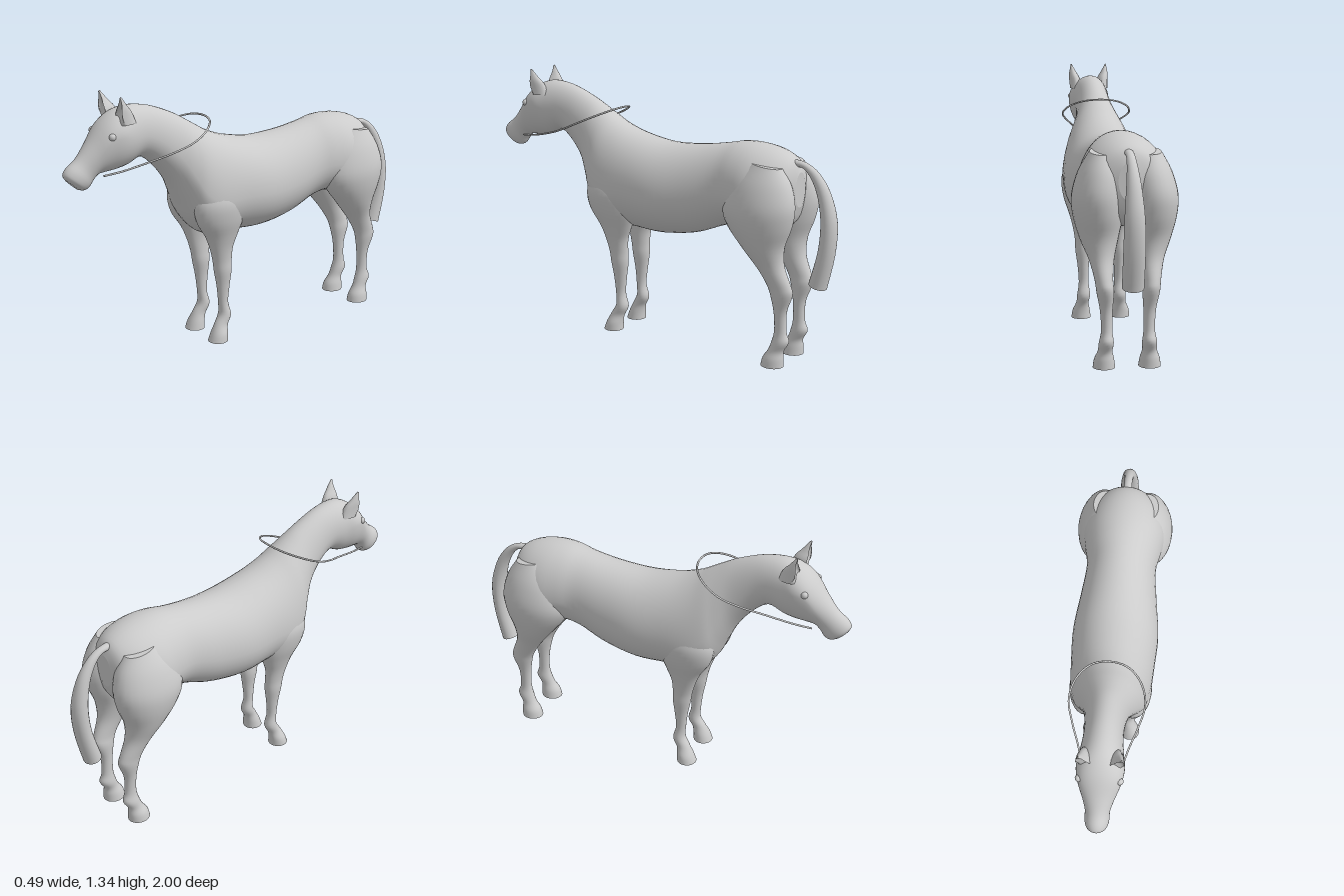
import * as THREE from 'three';

const material = new THREE.MeshStandardMaterial({ color: 0xcccccc, side: THREE.DoubleSide });

// Catmull-Rom blend between the rows of a section table
function smoothRows(rows, steps) {
  const out = [];
  const at = (i) => rows[Math.min(Math.max(i, 0), rows.length - 1)];
  for (let i = 0; i < rows.length - 1; i++) {
    for (let s = 0; s < steps; s++) {
      const t = s / steps;
      out.push(rows[i].map((b, k) => {
        const a = at(i - 1)[k], c = at(i + 1)[k], d = at(i + 2)[k];
        return b + 0.5 * t * (c - a + t * (2 * a - 5 * b + 4 * c - d + t * (3 * (b - c) + d - a)));
      }));
    }
  }
  out.push(rows[rows.length - 1]);
  return out;
}

// Loft through oval sections: [z1, y1, z2, y2, centreX, halfWidth, widest]
// (z1, y1) and (z2, y2) are opposite rim points; widest runs from 0 at the second to 1 at the first
function loft(name, table, { side = 1, steps = 4, sides = 28 } = {}) {
  const rows = smoothRows(table, steps);
  const pos = [], index = [];
  const addRing = ([z1, y1, z2, y2, cx, w, f]) => {
    for (let j = 0; j < sides; j++) {
      const a = (j / sides) * Math.PI * 2;
      const s = Math.sin(a);
      const t = f + (s > 0 ? 1 - f : f) * s;
      pos.push(side * cx + w * Math.cos(a), y2 + (y1 - y2) * t, z2 + (z1 - z2) * t);
    }
  };
  rows.forEach(addRing);
  for (let i = 0; i < rows.length - 1; i++) {
    for (let j = 0; j < sides; j++) {
      const k = (j + 1) % sides;
      const a = i * sides + j, b = i * sides + k;
      index.push(a, b, b + sides, a, b + sides, a + sides);
    }
  }
  // End caps with their own vertices keep a crisp rim
  [rows[0], rows[rows.length - 1]].forEach((row, end) => {
    const start = pos.length / 3;
    addRing(row);
    pos.push(side * row[4], (row[1] + row[3]) / 2, (row[0] + row[2]) / 2);
    for (let j = 0; j < sides; j++) {
      const a = start + j, b = start + (j + 1) % sides;
      index.push(start + sides, end ? a : b, end ? b : a);
    }
  });
  const geometry = new THREE.BufferGeometry();
  geometry.setAttribute('position', new THREE.Float32BufferAttribute(pos, 3));
  geometry.setIndex(index);
  geometry.computeVertexNormals();
  return part(name, geometry);
}

function part(name, geometry) {
  const mesh = new THREE.Mesh(geometry, material);
  mesh.name = name;
  return mesh;
}

// Rump to withers: top point, belly point
const torso = [
  [-0.805, 0.95, -0.805, 0.78, 0, 0.05, 0.5],
  [-0.775, 1.01, -0.775, 0.70, 0, 0.13, 0.5],
  [-0.70, 1.05, -0.70, 0.65, 0, 0.19, 0.45],
  [-0.60, 1.07, -0.60, 0.64, 0, 0.212, 0.42],
  [-0.50, 1.07, -0.50, 0.66, 0, 0.195, 0.42],
  [-0.40, 1.05, -0.40, 0.635, 0, 0.177, 0.45],
  [-0.25, 1.027, -0.25, 0.578, 0, 0.195, 0.45],
  [-0.07, 1.02, -0.07, 0.55, 0, 0.217, 0.45],
  [0.10, 1.05, 0.10, 0.557, 0, 0.21, 0.43],
  [0.21, 1.09, 0.25, 0.565, 0, 0.20, 0.38],
];

// Chest, neck and head: crest point, throat point
const foreparts = [
  [0.28, 1.13, 0.335, 0.645, 0, 0.178, 0.35],
  [0.33, 1.16, 0.385, 0.75, 0, 0.145, 0.38],
  [0.40, 1.20, 0.44, 0.86, 0, 0.112, 0.42],
  [0.50, 1.243, 0.52, 0.96, 0, 0.095, 0.45],
  [0.58, 1.265, 0.60, 1.015, 0, 0.094, 0.45],
  [0.66, 1.272, 0.68, 0.987, 0, 0.104, 0.5],
  [0.73, 1.255, 0.74, 0.975, 0, 0.112, 0.6],
  [0.80, 1.205, 0.79, 0.97, 0, 0.10, 0.65],
  [0.87, 1.12, 0.83, 0.965, 0, 0.075, 0.55],
  [0.93, 1.052, 0.855, 0.94, 0, 0.059, 0.5],
  [0.98, 1.015, 0.875, 0.912, 0, 0.058, 0.5],
  [1.0, 0.985, 0.90, 0.90, 0, 0.05, 0.5],
  [0.99, 0.96, 0.93, 0.905, 0, 0.028, 0.5],
];

// Legs from top to hoof: front point, back point
const foreleg = [
  [0.30, 0.88, 0.12, 0.86, 0.11, 0.05, 0.5],
  [0.352, 0.76, 0.07, 0.76, 0.12, 0.085, 0.5],
  [0.34, 0.66, 0.07, 0.66, 0.118, 0.08, 0.5],
  [0.285, 0.57, 0.10, 0.57, 0.11, 0.06, 0.5],
  [0.255, 0.50, 0.125, 0.50, 0.105, 0.046, 0.5],
  [0.235, 0.43, 0.13, 0.43, 0.10, 0.04, 0.5],
  [0.225, 0.37, 0.13, 0.37, 0.098, 0.04, 0.5],
  [0.21, 0.29, 0.14, 0.29, 0.097, 0.03, 0.5],
  [0.20, 0.20, 0.148, 0.20, 0.095, 0.026, 0.5],
  [0.198, 0.14, 0.133, 0.13, 0.096, 0.034, 0.5],
  [0.225, 0.09, 0.155, 0.08, 0.10, 0.033, 0.5],
  [0.25, 0.04, 0.162, 0.04, 0.105, 0.046, 0.5],
  [0.265, 0, 0.163, 0, 0.105, 0.052, 0.5],
];
const hindleg = [
  [-0.60, 1.00, -0.76, 0.98, 0.11, 0.055, 0.5],
  [-0.51, 0.90, -0.81, 0.90, 0.115, 0.10, 0.5],
  [-0.465, 0.78, -0.835, 0.80, 0.125, 0.12, 0.48],
  [-0.49, 0.69, -0.82, 0.70, 0.125, 0.115, 0.48],
  [-0.57, 0.59, -0.785, 0.60, 0.122, 0.09, 0.5],
  [-0.65, 0.49, -0.785, 0.51, 0.115, 0.058, 0.5],
  [-0.70, 0.41, -0.82, 0.42, 0.11, 0.042, 0.5],
  [-0.72, 0.35, -0.83, 0.37, 0.105, 0.04, 0.5],
  [-0.735, 0.27, -0.80, 0.28, 0.10, 0.029, 0.5],
  [-0.738, 0.18, -0.80, 0.18, 0.098, 0.026, 0.5],
  [-0.725, 0.12, -0.815, 0.13, 0.10, 0.034, 0.5],
  [-0.71, 0.08, -0.79, 0.08, 0.103, 0.034, 0.5],
  [-0.685, 0.04, -0.79, 0.04, 0.106, 0.046, 0.5],
  [-0.675, 0, -0.79, 0, 0.106, 0.052, 0.5],
];

// Tail: inner point, outer point
const tailRows = [
  [-0.76, 0.975, -0.76, 1.01, 0, 0.022, 0.5],
  [-0.82, 0.97, -0.83, 1.00, 0, 0.02, 0.5],
  [-0.865, 0.92, -0.90, 0.955, 0, 0.025, 0.5],
  [-0.90, 0.84, -0.96, 0.865, 0, 0.035, 0.5],
  [-0.92, 0.72, -0.998, 0.73, 0, 0.046, 0.5],
  [-0.91, 0.58, -0.992, 0.57, 0, 0.05, 0.5],
  [-0.868, 0.42, -0.955, 0.395, 0, 0.05, 0.5],
];

// Ears: back point, front point; a negative widest value hollows the front
const earRows = [
  [0.65, 1.20, 0.745, 1.20, 0.072, 0.034, 0.3],
  [0.675, 1.255, 0.73, 1.25, 0.078, 0.031, -0.25],
  [0.705, 1.29, 0.735, 1.285, 0.088, 0.021, -0.3],
  [0.74, 1.335, 0.748, 1.33, 0.097, 0.003, 0.2],
];

export function createModel() {
  const horse = new THREE.Group();
  horse.name = 'horse';
  horse.add(loft('bodyNeckAndHead', [...torso, ...foreparts], { sides: 40 }));
  horse.add(loft('tail', tailRows, { sides: 20 }));

  for (const [label, side] of [['left', 1], ['right', -1]]) {
    horse.add(loft(label + 'Foreleg', foreleg, { side }));
    horse.add(loft(label + 'Hindleg', hindleg, { side }));
    horse.add(loft(label + 'Ear', earRows, { side, sides: 16 }));
    const eye = part(label + 'Eye', new THREE.SphereGeometry(0.017, 16, 12));
    eye.position.set(side * 0.094, 1.152, 0.79);
    horse.add(eye);
  }

  // Reins: a thin strap looping from the mouth over the neck
  const half = [[0.07, 0.97, 0.83], [0.085, 0.98, 0.74], [0.115, 1.01, 0.61], [0.155, 1.045, 0.50],
    [0.18, 1.085, 0.40], [0.155, 1.125, 0.31], [0.09, 1.155, 0.245]];
  const points = [
    ...half.map(([x, y, z]) => new THREE.Vector3(x, y, z)),
    new THREE.Vector3(0, 1.165, 0.225),
    ...half.slice().reverse().map(([x, y, z]) => new THREE.Vector3(-x, y, z)),
  ];
  horse.add(part('reins', new THREE.TubeGeometry(new THREE.CatmullRomCurve3(points), 80, 0.005, 6)));
  return horse;
}
